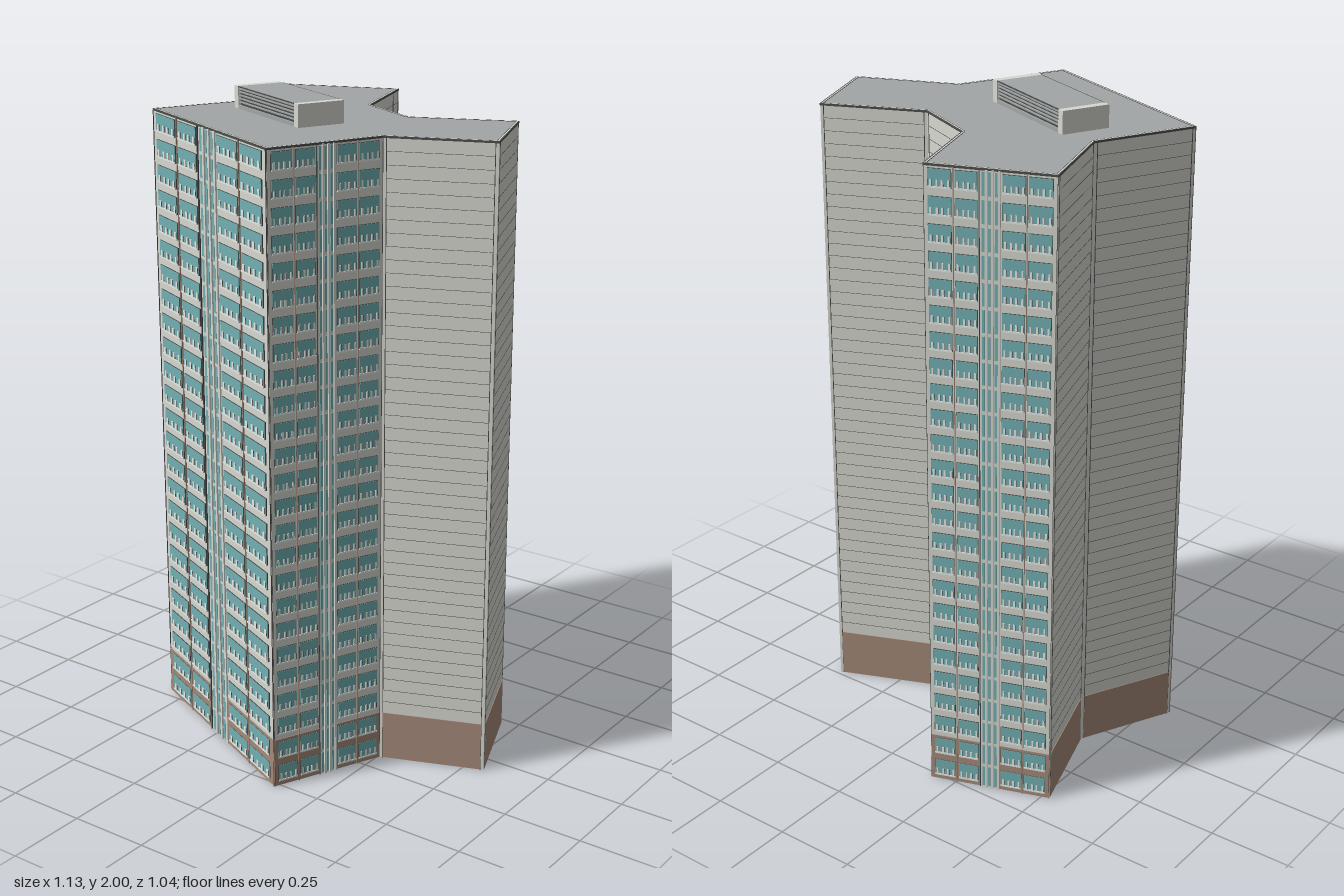
import * as THREE from 'three';
import { mergeGeometries } from 'three/addons/utils/BufferGeometryUtils.js';

const mat = (name, color) => {
  const m = new THREE.MeshStandardMaterial({ color });
  m.name = name;
  return m;
};
const M = {
  wall: mat('concrete', 0xd8d8d1),
  base: mat('brown cladding', 0xa58a79),
  glass: mat('teal glass', 0x72b0b3),
  frame: mat('window frame', 0xeaeae6),
  dark: mat('dark joint', 0x4c4d4b),
  roof: mat('roof grey', 0xa1a6a6),
};

// Footprint corners (x, z), in order with the outside on the +n side of each wall
const P = [[-0.562, 0.213], [0.105, 0.517], [0.256, 0.184], [0.561, 0.066], [0.44, -0.238],
  [0.14, -0.112], [-0.073, -0.222], [-0.175, -0.522], [-0.523, -0.397], [-0.42, -0.082]];
const TOP = 1.93, FLOORS = 25, FH = TOP / FLOORS, BASE = 2 * FH;
const GLAZED = [0, 1, 7]; // walls that carry windows

export function createModel() {
  const tower = new THREE.Group();
  tower.name = 'tower';
  const parts = new Map();

  const collect = (name, material, geo) => {
    if (!parts.has(name)) parts.set(name, { material, geos: [] });
    parts.get(name).geos.push(geo);
  };

  // Box on the wall from a to b: u range as fractions, y range, outer and inner depth
  const panel = (name, material, [a, b], u0, u1, y0, y1, depth, back = -0.002) => {
    const dx = b[0] - a[0], dz = b[1] - a[1], len = Math.hypot(dx, dz);
    const x = new THREE.Vector3(dx / len, 0, dz / len);
    const n = new THREE.Vector3(-x.z, 0, x.x);
    const u = (u0 + u1) / 2, mid = (depth + back) / 2;
    const geo = new THREE.BoxGeometry((u1 - u0) * len, y1 - y0, depth - back);
    const m = new THREE.Matrix4().makeBasis(x, new THREE.Vector3(0, 1, 0), n);
    m.setPosition(a[0] + dx * u + n.x * mid, (y0 + y1) / 2, a[1] + dz * u + n.z * mid);
    collect(name, material, geo.applyMatrix4(m));
  };

  // Horizontal slab with the tower footprint
  const slab = (name, material, y0, y1) => {
    const shape = new THREE.Shape(P.map(([x, z]) => new THREE.Vector2(x, -z)));
    const geo = new THREE.ExtrudeGeometry(shape, { depth: y1 - y0, bevelEnabled: false });
    collect(name, material, geo.rotateX(-Math.PI / 2).translate(0, y0, 0));
  };
  slab('walls', M.wall, 0, TOP);
  slab('roofDeck', M.roof, TOP, TOP + 0.003);

  P.forEach((a, i) => {
    const wall = [a, P[(i + 1) % P.length]];
    const len = Math.hypot(wall[1][0] - a[0], wall[1][1] - a[1]);

    // Roof edge: dark outer line, pale coping, dark inner line
    panel('roofEdge', M.dark, wall, 0, 1, TOP - 0.002, TOP + 0.004, 0.0015);
    panel('coping', M.wall, wall, 0, 1, TOP, TOP + 0.004, -0.002, -0.006);
    panel('roofEdge', M.dark, wall, 0, 1, TOP, TOP + 0.004, -0.006, -0.008);

    if (GLAZED.includes(i)) glazedWall(wall);
    else plainWall(wall, len, i);
  });

  // Blank walls: brown base, fine panel joints, corner joints
  function plainWall(wall, len, i) {
    const e = 0.01 / len, w = 0.001 / len;
    panel('brownBase', M.base, wall, e, 1 - e, 0.002, BASE, 0.002);
    for (let f = 5; f < FLOORS * 2; f++) {
      const y = f * FH / 2;
      panel('panelJoints', M.dark, wall, e, 1 - e, y - 0.0005, y + 0.0005, 0.0012);
    }
    for (const u of [e, 1 - e]) {
      panel('cornerJoints', M.dark, wall, u - w, u + w, 0, TOP, 0.0015);
    }
    if (i === 6) panel('cornerJoints', M.dark, wall, 0.795, 0.81, BASE, TOP, 0.0015);
  }

  // Window walls: two bays, a stair strip, two bays
  function glazedWall(wall) {
    const bays = [[0.035, 0.21], [0.24, 0.405], [0.595, 0.765], [0.79, 0.965]];
    panel('brownBase', M.base, wall, 0, 0.42, 0.002, BASE, 0.002);
    panel('brownBase', M.base, wall, 0.575, 1, 0.002, BASE, 0.002);
    for (let f = 0; f < FLOORS; f++) {
      const y = f * FH, lo = y + 0.018, hi = y + 0.069, mid = y + 0.04;
      for (const [u0, u1] of bays) {
        const at = t => u0 + (u1 - u0) * t;
        panel('windowSurrounds', M.dark, wall, u0 - 0.002, u1 + 0.002, lo - 0.001, hi + 0.001, 0.003);
        panel('windows', M.glass, wall, u0, u1, lo, hi, 0.004);
        // pale lower piers with thin mullions beside them
        for (const t of [0.12, 0.4, 0.62, 0.9]) {
          panel('windowPiers', M.frame, wall, at(t - 0.045), at(t + 0.045), lo, mid, 0.0055);
          panel('mullions', M.dark, wall, at(t + 0.05), at(t + 0.065), lo, mid, 0.005);
        }
        panel('sills', M.frame, wall, u0, u1, lo - 0.002, lo + 0.003, 0.006);
      }
      for (const [u0, u1] of [[0.44, 0.46], [0.488, 0.504], [0.538, 0.556]]) {
        panel('stairWindows', M.glass, wall, u0, u1, y + 0.006, y + 0.072, 0.003);
      }
    }
    // Pilasters, downpipes and shadow joint
    for (const u of [0.474, 0.521, 0.572]) panel('pilasters', M.wall, wall, u - 0.008, u + 0.008, 0, TOP, 0.005);
    for (const u of [0.225, 0.7775]) panel('downpipes', M.base, wall, u - 0.0025, u + 0.0025, 0, TOP, 0.004);
    panel('stairJoint', M.dark, wall, 0.418, 0.423, 0, TOP, 0.004);
    for (const u of [0.002, 0.998]) panel('cornerTrim', M.dark, wall, u - 0.001, u + 0.001, 0, TOP, 0.0025);
  }

  for (const [name, { material, geos }] of parts) {
    const mesh = new THREE.Mesh(mergeGeometries(geos.map(g => (g.index ? g.toNonIndexed() : g))), material);
    mesh.name = name;
    tower.add(mesh);
  }

  // Rooftop plant room: pale end walls, louvred long sides, flat lid
  const plant = new THREE.Group();
  plant.name = 'plantRoom';
  plant.position.set(-0.162, TOP, 0.07);
  plant.rotation.y = -Math.atan2(0.165, 0.36);
  const box = (name, material, w, h, d, x, y, z) => {
    const mesh = new THREE.Mesh(new THREE.BoxGeometry(w, h, d), material);
    mesh.name = name;
    mesh.position.set(x, y, z);
    plant.add(mesh);
  };
  const L = 0.402, D = 0.15, H = 0.07;
  for (const s of [-1, 1]) {
    box('plantEndWall', M.wall, 0.024, H, D, s * (L / 2 - 0.012), H / 2, 0);
    box('plantLidEdge', M.dark, L - 0.048, 0.003, 0.003, 0, H - 0.0015, s * (D / 2 - 0.0015));
    box('plantCurb', M.roof, L - 0.048, 0.014, 0.006, 0, 0.007, s * (D / 2 - 0.003));
    for (let k = 0; k < 4; k++) {
      box('louvre', M.roof, L - 0.048, 0.004, 0.006, 0, 0.023 + k * 0.01, s * (D / 2 - 0.006));
    }
  }
  box('plantCore', M.dark, L - 0.048, H - 0.008, D - 0.016, 0, H / 2 - 0.004, 0);
  box('plantLid', M.roof, L - 0.048, 0.01, D - 0.006, 0, H - 0.005, 0);
  tower.add(plant);

  return tower;
}
